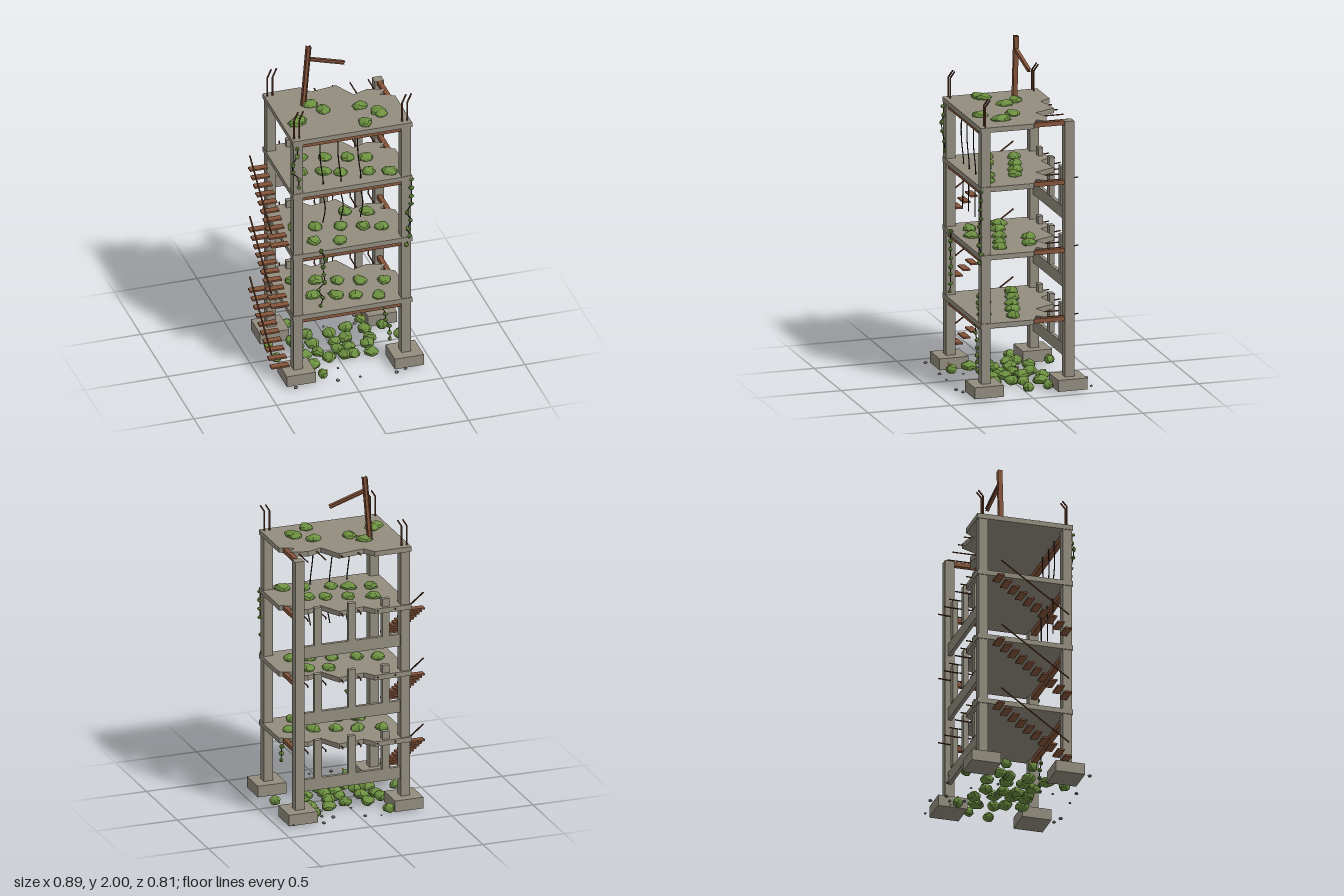
import * as THREE from 'three';

const mat = (color, flatShading = false) => new THREE.MeshStandardMaterial({ color, flatShading });
const concrete = mat(0x938d7f), rust = mat(0x85543a), rebar = mat(0x6e4029, true);
const leaf = mat(0x6c9040, true), stone = mat(0x8b8b88, true), cableMat = mat(0x2a241e), petal = mat(0xd9a520, true);

let seed = 7;
const rnd = (a = 0, b = 1) => {
  seed = (seed * 16807) % 2147483647;
  return a + (b - a) * seed / 2147483647;
};
const V = (x, y, z) => new THREE.Vector3(x, y, z);

export function createModel() {
  const model = new THREE.Group();
  const groups = {};
  const add = (name, geometry, material) => {
    const mesh = new THREE.Mesh(geometry, material);
    mesh.name = name;
    if (!groups[name]) {
      groups[name] = new THREE.Group();
      groups[name].name = name + 'Group';
      model.add(groups[name]);
    }
    groups[name].add(mesh);
    return mesh;
  };
  const box = (name, x0, x1, y0, y1, z0, z1, material) => {
    const m = add(name, new THREE.BoxGeometry(x1 - x0, y1 - y0, z1 - z0), material);
    m.position.set((x0 + x1) / 2, (y0 + y1) / 2, (z0 + z1) / 2);
    return m;
  };
  // straight rod segments through a list of points
  const rod = (name, points, r, material) => {
    for (let i = 1; i < points.length; i++) {
      const d = points[i].clone().sub(points[i - 1]);
      const m = add(name, new THREE.CylinderGeometry(r, r, d.length(), 6), material);
      m.position.copy(points[i - 1]).addScaledVector(d, 0.5);
      m.quaternion.setFromUnitVectors(V(0, 1, 0), d.normalize());
    }
  };
  // irregular low-poly lump
  const lump = (name, x, y, z, rx, ry, rz, material, detail = 1) => {
    const g = new THREE.IcosahedronGeometry(1, detail), p = g.attributes.position, k = rnd(0, 9);
    for (let i = 0; i < p.count; i++) {
      const v = V(0, 0, 0).fromBufferAttribute(p, i);
      v.multiplyScalar(0.93 + 0.15 * Math.sin(v.x * 4 + k) * Math.cos(v.z * 3.5 + v.y * 2 - k));
      p.setXYZ(i, v.x, v.y, v.z);
    }
    g.computeVertexNormals();
    const m = add(name, g, material);
    m.scale.set(rx, ry, rz);
    m.position.set(x, y, z);
    m.rotation.y = rnd(0, 6.28);
  };

  // footings and columns
  const X = [-0.297, 0.355], Z = [-0.258, 0.248];
  for (const x of X) for (const z of Z) {
    box('footing', x - 0.088, x + 0.088, 0.012, 0.08, z - 0.088, z + 0.088, concrete);
    box('column', x - 0.028, x + 0.028, 0.08, 1.605, z - 0.028, z + 0.028, concrete);
    if (x > 0 && z < 0) continue;
    // bent bars sprouting from the column head
    for (const dx of [-0.017, 0.015])
      rod('columnRebar', [V(x + dx, 1.59, z), V(x + dx, 1.73, z), V(x + dx + 0.03, 1.775, z - 0.017)], 0.005, rebar);
  }

  // broken floor slabs with steel edge beams
  const outline = [[-0.33, -0.295], [-0.105, -0.295], [-0.06, -0.23], [0.1, -0.255], [0.165, -0.125], [0.255, -0.16],
    [0.355, -0.125], [0.31, -0.08], [0.39, -0.04], [0.39, 0.28], [-0.33, 0.28]];
  const slab = new THREE.ExtrudeGeometry(new THREE.Shape(outline.map(([x, z]) => new THREE.Vector2(x, -z))),
    { depth: 0.03, bevelEnabled: false }).rotateX(-Math.PI / 2);
  const tops = [0.44, 0.848, 1.255, 1.61];
  const barStarts = [[-0.235, -0.27], [-0.127, -0.27], [-0.022, -0.21], [0.088, -0.23], [0.194, -0.11], [0.304, -0.1]];
  tops.forEach((top, floor) => {
    add('floorSlab', slab, concrete).position.y = top - 0.03;
    box('frontBeam', -0.27, 0.328, top - 0.058, top - 0.03, 0.232, 0.264, rust);
    box('sideBeam', 0.341, 0.369, top - 0.029, top - 0.003, -0.232, 0.22, rust);
    // bars left in the broken edge
    for (const [x, z] of barStarts) {
      const path = [V(x, top - 0.015, z), V(x, top - 0.015, -0.282)];
      if (floor < 3) path.push(V(x + 0.018, top - 0.004, -0.33));
      rod('edgeRebar', path, 0.004, rebar);
    }
  });

  // rear spandrel walls with stub posts
  for (const y of [0.183, 0.59, 0.998]) {
    box('rearSpandrel', -0.27, 0.328, y, y + 0.073, -0.27, -0.248, concrete);
    for (const x of [-0.18, 0.028, 0.237])
      box('rearPost', x - 0.022, x + 0.022, y + 0.073, y + 0.305, -0.275, -0.245, concrete);
  }

  // outside stair flights
  for (const y of [0.09, 0.495, 0.9]) {
    for (let i = 0; i < 10; i++) {
      const z = 0.218 - i * 0.045, h = y + i * 0.0315;
      box('stairTread', -0.446, -0.34, h - 0.005, h + 0.005, z - 0.021, z + 0.021, rust);
    }
    rod('stairRail', [V(-0.442, y + 0.085, 0.222), V(-0.442, y + 0.375, -0.187)], 0.005, rebar);
  }

  // leaning roof girder of I section, with a side arm
  const girder = (name, a, b, w) => {
    const d = b.clone().sub(a), g = new THREE.Group(), L = d.length();
    for (const [dx, sx, sz] of [[-0.42, 0.16, 1], [0.42, 0.16, 1], [0, 0.84, 0.2]]) {
      const m = new THREE.Mesh(new THREE.BoxGeometry(w * sx, L, w * sz), rust);
      m.position.x = dx * w;
      m.name = name + 'Plate';
      g.add(m);
    }
    g.name = name;
    g.position.copy(a).addScaledVector(d, 0.5);
    g.quaternion.setFromUnitVectors(V(0, 1, 0), d.normalize());
    model.add(g);
  };
  girder('roofGirder', V(-0.15, 1.59, -0.097), V(-0.116, 1.998, -0.097), 0.027);
  girder('girderArm', V(-0.118, 1.915, -0.097), V(0.103, 1.847, -0.105), 0.02);

  // hanging cables
  const strand = (name, points, r, material) =>
    add(name, new THREE.TubeGeometry(new THREE.CatmullRomCurve3(points), 24, r, 5), material);
  for (const x of [-0.15, -0.042, 0.077])
    strand('hangingCable', [V(x, 1.58, 0.222), V(x + 0.003, 1.42, 0.225), V(x + 0.022, 1.27, 0.218),
      V(x + 0.018, 1.2, 0.22), V(x + 0.032, 1.1, 0.225), V(x + 0.018, 1.0, 0.222)], 0.0035, cableMat);

  // bushes on the roof and floors
  const roof = [[-0.11, -0.09], [-0.055, -0.01], [-0.255, 0.09], [-0.22, 0.07], [0.155, 0.015], [0.235, 0.1], [0.25, 0.125], [0.13, 0.205]];
  for (const [x, z] of roof) lump('bush', x, 1.615, z, 0.052, 0.026, 0.042, leaf);
  for (let f = 0; f < 3; f++)
    for (let i = 0; i < 9; i++)
      lump('bush', -0.23 + i * 0.063 + rnd(-0.02, 0.02), tops[f] + 0.008, ((i * 5 + f * 2) % 9) * 0.038 - 0.1, rnd(0.04, 0.054), 0.028, 0.042, leaf);

  // undergrowth at ground level
  for (let i = 0; i < 20; i++)
    lump('undergrowth', -0.19 + (i % 5) * 0.1 + rnd(-0.03, 0.03), 0.035, -0.15 + Math.floor(i / 5) * 0.1 + rnd(-0.03, 0.03), rnd(0.035, 0.052), 0.03, 0.042, leaf);
  for (const [x, z] of [[-0.18, -0.32], [-0.15, 0.285], [0.24, -0.24], [-0.35, -0.13], [-0.35, 0.03], [0.34, -0.14]])
    lump('undergrowth', x, 0.032, z, 0.036, 0.03, 0.03, leaf);
  lump('undergrowth', 0.4, 0.045, 0, 0.035, 0.03, 0.035, leaf);

  // climbing vines with leaf tufts
  const vine = (x, z, y0, y1, n) => {
    const points = [];
    for (let i = 0; i <= n; i++) {
      const p = V(x + rnd(-0.022, 0.022), y0 + (y1 - y0) * i / n, z + rnd(-0.006, 0.006));
      points.push(p);
      lump('vineLeaf', p.x, p.y, p.z, rnd(0.012, 0.021), rnd(0.012, 0.02), 0.014, leaf, 0);
    }
    strand('vineStem', points, 0.003, cableMat);
  };
  vine(-0.155, 0.287, 0.49, 0.85, 7);
  vine(0.24, 0.26, 0.18, 0.39, 5);
  vine(0.37, 0.282, 0.8, 1.23, 8);
  vine(-0.315, 0.282, 1.3, 1.56, 5);

  // rubble
  const rocks = [[-0.105, -0.4], [-0.015, -0.375], [0.25, -0.4], [0.425, -0.375], [0.165, -0.33], [-0.345, 0.377],
    [-0.09, 0.375], [0.045, 0.377], [0.26, 0.39], [0.32, 0.367], [0.2, -0.21], [-0.34, 0.01]];
  for (let i = 0; i < 14; i++) rocks.push([rnd(-0.32, 0.36), rnd(-0.3, 0.3)]);
  for (const [x, z] of rocks) {
    const r = rnd(0.007, 0.016);
    lump('rubble', x, 0.027, z, r, r * 0.7, r, stone, 0);
  }

  // small flowers
  for (const [x, z] of [[-0.17, 0.295], [-0.135, 0.3], [0.225, -0.24], [0.25, -0.23]])
    lump('flower', x, 0.06, z, 0.008, 0.006, 0.008, petal, 0);

  return model;
}
